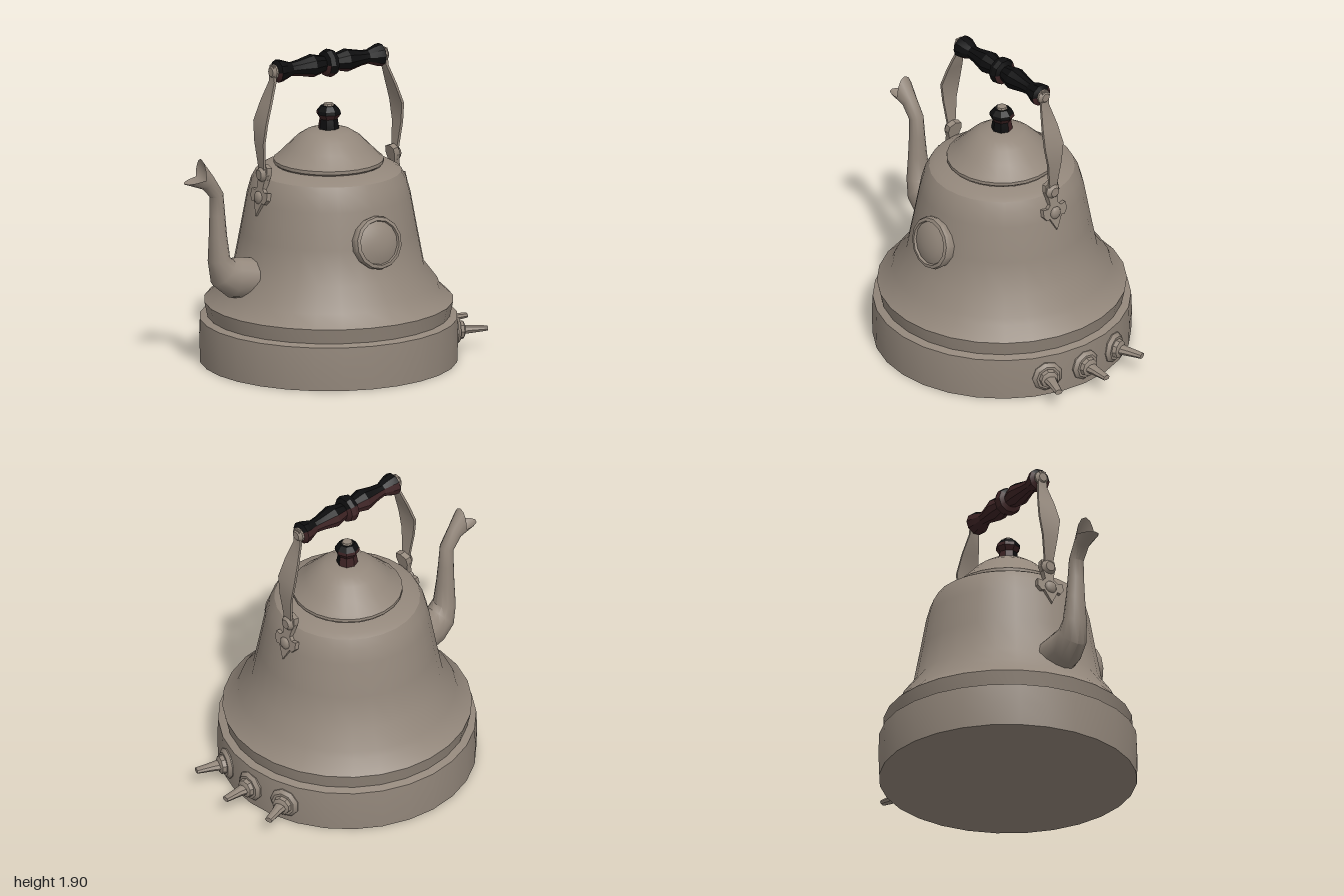
import * as THREE from 'three';
import { toCreasedNormals } from 'three/addons/utils/BufferGeometryUtils.js';

const metal = new THREE.MeshStandardMaterial({ color: 0x93877b, side: THREE.DoubleSide });
metal.name = 'warm grey metal';
const black = new THREE.MeshStandardMaterial({ color: 0x0d0d0e });
black.name = 'worn black';
const red = new THREE.MeshStandardMaterial({ color: 0x3d2324 });
red.name = 'dark red wood';

const CX = 0.03; // axis of the kettle body

function add(parent, name, geo, mat = metal, crease = 0.55) {
  const mesh = new THREE.Mesh(crease ? toCreasedNormals(geo, crease) : geo, mat);
  mesh.name = name;
  parent.add(mesh);
  return mesh;
}

function lathe(points, sides) {
  return new THREE.LatheGeometry(points.map(([r, y]) => new THREE.Vector2(r, y)), sides);
}

// Skin a list of equal-length rings of points, optionally closing the ends
function loft(rings, caps) {
  const n = rings[0].length, pos = [], idx = [];
  rings.forEach(ring => ring.forEach(p => pos.push(...p)));
  for (let i = 0; i < rings.length - 1; i++) {
    for (let j = 0; j < n; j++) {
      const a = i * n + j, b = i * n + (j + 1) % n;
      idx.push(a, b, a + n, b, b + n, a + n);
    }
  }
  if (caps) {
    const e = (rings.length - 1) * n;
    for (let j = 1; j < n - 1; j++) idx.push(0, j + 1, j, e, e + j, e + j + 1);
  }
  const geo = new THREE.BufferGeometry();
  geo.setAttribute('position', new THREE.Float32BufferAttribute(pos, 3));
  geo.setIndex(idx);
  geo.computeVertexNormals();
  return geo;
}

// Sort faces into black (upper front) and red (lower back) groups
function twoTone(source) {
  const geo = toCreasedNormals(source, 0.4);
  const p = geo.attributes.position, dark = [], wood = [];
  const tri = new THREE.Triangle(), n = new THREE.Vector3();
  const facing = new THREE.Vector3(0, 0.85, 0.53);
  for (let i = 0; i < p.count; i += 3) {
    tri.setFromAttributeAndIndices(p, i, i + 1, i + 2).getNormal(n);
    (n.dot(facing) > 0.15 ? dark : wood).push(i, i + 1, i + 2);
  }
  geo.setIndex([...dark, ...wood]);
  geo.addGroup(0, dark.length, 0);
  geo.addGroup(dark.length, wood.length, 1);
  return geo;
}

function makeBracket() {
  const g = new THREE.Group();
  // Bowed strap: [x, y, half width]
  const path = [[0.395, 1.86, 0.022], [0.395, 1.76, 0.03], [0.44, 1.64, 0.055], [0.48, 1.52, 0.07],
    [0.486, 1.4, 0.05], [0.472, 1.25, 0.03], [0.46, 1.16, 0.03]];
  const t = 0.008;
  add(g, 'strap', loft(path.map(([x, y, w]) =>
    [[x - t, y, -w], [x - t, y, w], [x + t, y, w], [x + t, y, -w]]).reverse(), true));

  // Rivets at the grip and at the hinge
  const rivet = (name, x, y, r, len) => {
    const geo = lathe([[0, 0], [r, 0], [r, len * 0.5], [r * 0.6, len], [0, len]], 10);
    add(g, name, geo.rotateZ(-Math.PI / 2).translate(x, y, 0));
  };
  rivet('gripRivet', 0.375, 1.82, 0.045, 0.035);
  rivet('hingeRivet', 0.45, 1.2, 0.05, 0.045);

  // Pointed ornamental mount lying against the body
  const half = [[0.045, 0.04], [0.05, 0], [0.035, -0.05], [0.03, -0.09], [0.05, -0.11], [0.085, -0.105],
    [0.09, -0.15], [0.065, -0.18], [0.045, -0.175]];
  const outline = [[0, 0.055], ...half, [0, -0.26], ...half.map(([x, y]) => [-x, y]).reverse()];
  const shape = new THREE.Shape(outline.map(([x, y]) => new THREE.Vector2(x, y)));
  const plate = new THREE.ExtrudeGeometry(shape, { depth: 0.035, bevelEnabled: false });
  plate.rotateY(Math.PI / 2).rotateZ(0.18).translate(0.435, 1.2, 0);
  add(g, 'mount', plate);
  const boss = new THREE.SphereGeometry(0.04, 8, 6).scale(0.5, 1, 1).translate(0.497, 1.06, 0);
  add(g, 'mountBoss', boss, metal, 0);
  return g;
}

function makeTap() {
  const g = new THREE.Group();
  // Stepped round flange and tapered stem
  const flange = lathe([[0, 0.68], [0.09, 0.68], [0.095, 0.775], [0.075, 0.795], [0.06, 0.795],
    [0.055, 0.82], [0.035, 0.83], [0, 0.83]], 9);
  add(g, 'tapFlange', flange.rotateZ(-Math.PI / 2));
  const stem = [[0.8, 0.03, 0.045], [0.87, 0.025, 0.032], [0.97, 0.016, 0.024]];
  add(g, 'tapStem', loft(stem.map(([x, h, w]) => Array.from({ length: 8 }, (_, i) => {
    const a = i * Math.PI / 4;
    return [x, h * Math.cos(a), w * Math.sin(a)];
  })), true));
  return g;
}

export function createModel() {
  const kettle = new THREE.Group();
  kettle.name = 'kettle';
  const body = new THREE.Group();
  body.name = 'bodyAssembly';
  body.position.x = CX;
  kettle.add(body);

  add(body, 'base', lathe([[0, 0], [0.77, 0], [0.775, 0.14], [0.77, 0.265], [0.725, 0.28]], 28));
  add(body, 'body', lathe([[0.725, 0.275], [0.745, 0.37], [0.665, 0.445], [0.65, 0.485], [0.57, 0.59],
    [0.53, 0.8], [0.49, 1.02], [0.465, 1.11], [0.435, 1.165], [0.4, 1.185], [0.32, 1.205]], 28));
  add(body, 'lid', lathe([[0.31, 1.2], [0.33, 1.215], [0.33, 1.235], [0.31, 1.25], [0.25, 1.31],
    [0.19, 1.37], [0.135, 1.405], [0.07, 1.42], [0, 1.42]], 24));

  // Lid knob
  const knob = lathe([[0.065, 1.4], [0.062, 1.44], [0.055, 1.48], [0.075, 1.51],
    [0.072, 1.53], [0.045, 1.56], [0, 1.56]], 8);
  add(body, 'lidKnob', twoTone(knob), [black, red], 0);
  add(body, 'knobCap', lathe([[0, 1.55], [0.035, 1.555], [0.03, 1.572], [0, 1.578]], 8));

  // Turned grip across the top
  const halfGrip = [[0.07, 0.365], [0.066, 0.335], [0.042, 0.27], [0.048, 0.22], [0.07, 0.12], [0.05, 0.04],
    [0.078, 0.028]];
  const grip = lathe([[0, -0.38], [0.045, -0.38], ...halfGrip.map(([r, y]) => [r, -y]), [0.086, 0],
    ...halfGrip.slice().reverse(), [0.045, 0.38], [0, 0.38]], 10);
  grip.rotateZ(-Math.PI / 2).translate(0, 1.82, 0);
  add(body, 'grip', twoTone(grip), [black, red], 0);

  // Handle brackets, left and right
  for (const side of [0, 1]) {
    const bracket = makeBracket();
    bracket.name = side ? 'rightBracket' : 'leftBracket';
    bracket.rotation.y = side * Math.PI;
    body.add(bracket);
  }

  // Round medallion on the sloping front
  const disc = lathe([[0.15, -0.05], [0.162, 0.015], [0.155, 0.035], [0.135, 0.04], [0.13, 0.025],
    [0.09, 0.042], [0.045, 0.05], [0, 0.053]], 14);
  disc.rotateX(Math.PI / 2 - 0.2);
  add(body, 'medallion', disc).position.set(0, 0.83, 0.53);

  // Three taps around the left side of the base
  [-0.34, 0, 0.34].forEach((angle, i) => {
    const tap = makeTap();
    tap.name = 'tap' + (i + 1);
    tap.rotation.y = angle;
    tap.position.y = 0.13;
    body.add(tap);
  });

  // Spout sections: [x, y, tangent angle, half height, half depth, lip flare]
  const sections = [
    [-0.38, 0.575, 3.14, 0.125, 0.125, 0], [-0.53, 0.575, 3.14, 0.125, 0.12, 0],
    [-0.645, 0.595, 2.9, 0.125, 0.105, 0], [-0.715, 0.635, 2.4, 0.1, 0.09, 0],
    [-0.745, 0.72, 1.75, 0.065, 0.075, 0], [-0.752, 0.87, 1.58, 0.052, 0.06, 0],
    [-0.757, 1.0, 1.62, 0.046, 0.05, 0], [-0.763, 1.12, 1.9, 0.042, 0.045, 0],
    [-0.825, 1.205, 2.4, 0.052, 0.045, 0], [-0.87, 1.235, 2.45, 0.092, 0.06, 0.08]];
  add(kettle, 'spout', loft(sections.map(([x, y, a, h, w, flare]) => {
    const tx = Math.cos(a), ty = Math.sin(a);
    return Array.from({ length: 12 }, (_, i) => {
      const c = Math.cos(i * Math.PI / 6), s = Math.sin(i * Math.PI / 6);
      const f = flare * Math.abs(c);
      return [x - ty * h * c + tx * f, y + tx * h * c + ty * f, w * s];
    });
  }), false), metal, 0.8);

  return kettle;
}
